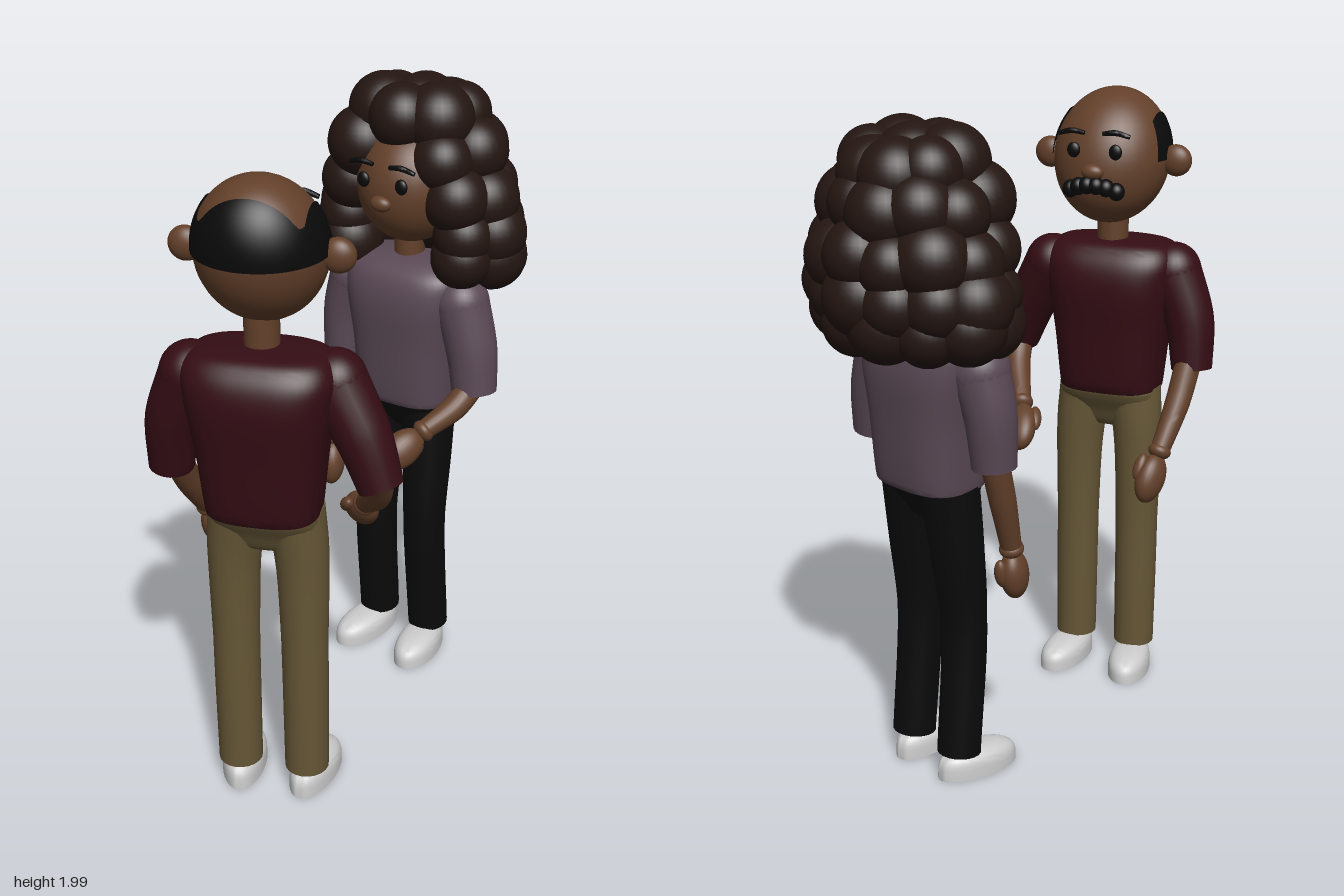
import * as THREE from 'three';
import { mergeVertices, toCreasedNormals } from 'three/addons/utils/BufferGeometryUtils.js';
import { ParametricGeometry } from 'three/addons/geometries/ParametricGeometry.js';

const paint = (color) => new THREE.MeshStandardMaterial({ color });
const skin = paint(0x63402a), black = paint(0x0a0a0a), white = paint(0xe6e6e6);
const maroon = paint(0x340d14), khaki = paint(0x655636), mauve = paint(0x5a4955), curls = paint(0x241612);
const V = (p) => new THREE.Vector3(...p);
const soft = (c, e) => Math.sign(c) * Math.abs(c) ** e;

function add(parent, name, geometry, material) {
  const mesh = new THREE.Mesh(geometry, material);
  mesh.name = name;
  parent.add(mesh);
  return mesh;
}

function ball(parent, name, material, pos, size) {
  const mesh = add(parent, name, new THREE.SphereGeometry(1, 28, 20), material);
  mesh.position.set(...pos);
  mesh.scale.set(...size);
  return mesh;
}

function creased(g) {
  g.deleteAttribute('uv');
  g.deleteAttribute('normal');
  return toCreasedNormals(mergeVertices(g, 1e-5), 0.9);
}

// Capped tube along points, radius passing through the listed values
function limb(parent, name, material, points, radii) {
  const n = 20, sides = 20;
  const curve = new THREE.CatmullRomCurve3(points.map(V));
  const g = new THREE.TubeGeometry(curve, n, 1, sides);
  const p = g.attributes.position, v = new THREE.Vector3();
  for (let i = 0; i <= n; i++) {
    const t = THREE.MathUtils.clamp((i - 1) / (n - 2), 0, 1);
    const f = t * (radii.length - 1), k = Math.min(Math.floor(f), radii.length - 2);
    const r = i === 0 || i === n ? 0 : THREE.MathUtils.lerp(radii[k], radii[k + 1], f - k);
    const from = curve.getPointAt(i / n), to = curve.getPointAt(t);
    for (let j = 0; j <= sides; j++) {
      const id = i * (sides + 1) + j;
      v.fromBufferAttribute(p, id).sub(from).multiplyScalar(r).add(to);
      p.setXYZ(id, v.x, v.y, v.z);
    }
  }
  return add(parent, name, creased(g), material);
}

// Rounded body from cross-sections [half width, height, half depth]
function loft(parent, name, material, sections, z = 0) {
  const curve = new THREE.CatmullRomCurve3(sections.map(V), false, 'centripetal');
  const g = new ParametricGeometry((u, v, out) => {
    const s = curve.getPoint(v), a = u * Math.PI * 2;
    out.set(s.x * soft(Math.cos(a), 0.7), s.y, z - s.z * soft(Math.sin(a), 0.7));
  }, 48, 40);
  return add(parent, name, creased(g), material);
}

// Sleeve with round shoulder, forearm, and a mitten hand with thumb
function arm(parent, shirt, sleeve, forearm, handEnd, thumbSide, radii) {
  const g = new THREE.Group();
  g.name = 'arm';
  parent.add(g);
  ball(g, 'shoulder', shirt, sleeve[0], [radii[0], radii[0], radii[0]]);
  limb(g, 'sleeve', shirt, sleeve, radii);
  limb(g, 'forearm', skin, forearm, [0.043, 0.04, 0.031]);
  const wrist = V(forearm[forearm.length - 1]), end = V(handEnd);
  const dir = end.clone().sub(wrist), len = dir.length();
  const hand = new THREE.Group();
  hand.name = 'hand';
  hand.position.copy(wrist);
  hand.quaternion.setFromUnitVectors(new THREE.Vector3(0, 1, 0), dir.normalize());
  g.add(hand);
  ball(hand, 'cuff', skin, [0, 0, 0], [0.037, 0.026, 0.037]);
  ball(hand, 'palm', skin, [0, len * 0.54, 0], [0.042, len * 0.48, 0.056]);
  ball(hand, 'thumb', skin, [thumbSide * 0.026, len * 0.4, 0.038], [0.021, 0.045, 0.021]);
}

// Blocky rounded shoe with a flat sole and lower toe
function shoe(parent, x, z, turn) {
  const g = new THREE.SphereGeometry(1, 40, 24), p = g.attributes.position;
  for (let i = 0; i < p.count; i++) {
    const px = p.getX(i), py = p.getY(i), pz = p.getZ(i);
    const plan = Math.hypot(px, pz) || 1, k = soft(plan, 0.75) / plan;
    const height = 0.083 - 0.008 * pz;
    p.setXYZ(i, px * k * (0.068 + 0.005 * pz), py > 0 ? height * soft(py, 0.5) : 0, pz * k * 0.14 + 0.065);
  }
  const mesh = add(parent, 'shoe', creased(g), white);
  mesh.position.set(x, 0.01, z);
  mesh.rotation.y = turn;
}

// Head with ears, eyes, brows and nose; lean carries the chin forward.
// Returns a helper that finds points on the face.
function head(parent, c, r, lean) {
  const g = new THREE.SphereGeometry(1, 40, 28);
  g.applyMatrix4(new THREE.Matrix4().makeScale(...r));
  g.applyMatrix4(new THREE.Matrix4().makeShear(0, 0, 0, -lean, 0, 0));
  add(parent, 'head', g, skin).position.set(...c);
  const on = (x, y, lift = 0) => [c[0] + x, c[1] + y,
    c[2] + lift - lean * y + r[2] * Math.sqrt(Math.max(0, 1 - (x / r[0]) ** 2 - (y / r[1]) ** 2))];
  const browZ = c[2] + r[2] - 0.002;
  for (const s of [-1, 1]) {
    ball(parent, 'ear', skin, [c[0] + s * (r[0] + 0.025), c[1] - 0.005, c[2]], [0.05, 0.05, 0.034]);
    ball(parent, 'eye', black, on(s * 0.068, 0.038, 0.01), [0.021, 0.024, 0.012]);
    limb(parent, 'brow', black, [[c[0] + s * 0.03, c[1] + 0.094, browZ], [c[0] + s * 0.07, c[1] + 0.099, browZ],
      [c[0] + s * 0.115, c[1] + 0.088, browZ - 0.006]], [0.007, 0.009, 0.007]);
  }
  ball(parent, 'nose', skin, on(0, -0.025, 0), [0.036, 0.025, 0.024]);
  return on;
}

function createMan() {
  const man = new THREE.Group(), body = new THREE.Group();
  man.name = 'man';
  body.name = 'manBody';
  body.position.set(0.042, 0, 0.535);
  body.rotation.y = THREE.MathUtils.degToRad(202);
  man.add(body);

  // Shirt, neck and trousers
  loft(body, 'shirt', maroon, [[0, 1.0, 0], [0.163, 1.0, 0.125], [0.165, 1.01, 0.13], [0.185, 1.2, 0.15],
    [0.212, 1.37, 0.165], [0.218, 1.44, 0.15], [0.19, 1.485, 0.115], [0.1, 1.5, 0.06], [0, 1.502, 0]], -0.02);
  add(body, 'neck', new THREE.CylinderGeometry(0.05, 0.05, 0.16, 24), skin).position.y = 1.55;
  loft(body, 'hips', khaki, [[0, 0.865, 0], [0.08, 0.875, 0.045], [0.145, 0.93, 0.075], [0.16, 1.01, 0.112], [0, 1.03, 0]], -0.008);
  for (const s of [-1, 1]) {
    limb(body, 'trouserLeg', khaki, [[s * 0.083, 1.0, -0.006], [s * 0.1, 0.85, 0], [s * 0.105, 0.5, 0], [s * 0.105, 0.09, 0]],
      [0.088, 0.076, 0.07, 0.069, 0.067]);
    shoe(body, s * 0.105, 0, s * 0.14);
  }

  // Head, moustache of small balls, hair round the back and sides
  const c = [0, 1.77, 0.018], r = [0.185, 0.21, 0.185], lean = 0.14;
  const on = head(body, c, r, lean);
  for (let i = -2.5; i <= 2.5; i++)
    ball(body, 'moustache', black, on(i * 0.03, -0.07 - 0.003 * (i * i - 2), 0.012), [0.026, 0.028, 0.026]);
  const hair = new ParametricGeometry((u, v, out) => {
    const a = (u - 0.5) * 2 * THREE.MathUtils.degToRad(114);
    const dx = -Math.sin(a), dz = -Math.cos(a);
    const edge = Math.min(0.14 / Math.max(0.01, Math.abs(dx)), 0.1 / Math.max(0.01, Math.abs(dz)), 0.162);
    const t = THREE.MathUtils.lerp(Math.PI / 2, Math.asin(edge / 0.185), v), y = Math.cos(t) * r[1] * 1.015;
    out.set(c[0] + dx * Math.sin(t) * r[0] * 1.03, c[1] + y, c[2] + dz * Math.sin(t) * r[2] * 1.03 - lean * y);
  }, 64, 12);
  const hairMaterial = paint(0x0a0a0a);
  hairMaterial.side = THREE.DoubleSide;
  add(body, 'hairBand', hair, hairMaterial);

  arm(man, maroon, [[-0.135, 1.405, 0.63], [-0.195, 1.25, 0.645], [-0.22, 1.09, 0.635]],
    [[-0.22, 1.14, 0.625], [-0.235, 1.0, 0.55], [-0.248, 0.86, 0.45]], [-0.25, 0.71, 0.37], 1, [0.09, 0.08, 0.066]);
  arm(man, maroon, [[0.225, 1.405, 0.45], [0.315, 1.25, 0.445], [0.372, 1.115, 0.445]],
    [[0.365, 1.14, 0.45], [0.325, 1.05, 0.39], [0.225, 0.95, 0.305]], [0.13, 0.84, 0.2], -1, [0.09, 0.082, 0.066]);
  return man;
}

function createWoman() {
  const woman = new THREE.Group(), body = new THREE.Group();
  woman.name = 'woman';
  body.name = 'womanBody';
  body.position.set(-0.08, 0, -0.39);
  woman.add(body);

  // Top, neck and trousers
  loft(body, 'top', mauve, [[0, 0.95, 0], [0.16, 0.95, 0.12], [0.162, 0.96, 0.124], [0.175, 1.15, 0.14],
    [0.2, 1.32, 0.147], [0.2, 1.39, 0.125], [0.15, 1.43, 0.08], [0, 1.45, 0]], -0.004);
  add(body, 'neck', new THREE.CylinderGeometry(0.048, 0.048, 0.16, 24), skin).position.y = 1.48;
  loft(body, 'hips', black, [[0, 0.835, 0], [0.08, 0.845, 0.045], [0.14, 0.9, 0.08], [0.158, 0.97, 0.108], [0, 0.98, 0]]);
  for (const s of [-1, 1]) {
    limb(body, 'trouserLeg', black, [[s * 0.08, 0.95, -0.005], [s * 0.09, 0.75, 0.015], [s * 0.096, 0.5, 0.035], [s * 0.1, 0.09, 0.005]],
      [0.09, 0.08, 0.07, 0.068, 0.067]);
    shoe(body, s * 0.1, 0.008, s * 0.14);
  }

  // Head and curls: rows of balls round a core, leaving the face open
  head(body, [0.015, 1.68, 0.01], [0.17, 0.19, 0.18], 0);
  const hair = new THREE.Group();
  hair.name = 'curlyHair';
  hair.position.z = -0.06;
  body.add(hair);
  ball(hair, 'hairCore', curls, [0, 1.66, -0.05], [0.23, 0.24, 0.17]);
  // Rows hold height, half width, back depth, front depth, count, spread in degrees
  const rows = [[1.89, 0.125, 0.08, 0.13, 7, 180], [1.78, 0.185, 0.125, 0.2, 8, 130], [1.65, 0.23, 0.168, 0.2, 9, 126],
    [1.54, 0.255, 0.165, 0.19, 9, 124], [1.465, 0.25, 0.14, 0.19, 8, 124]];
  rows.forEach(([y, rx, back, front, n, spread], k) => {
    for (let i = 0; i < n; i++) {
      const t = spread === 180 ? i / n : i / (n - 1);
      const a = THREE.MathUtils.degToRad((t * 2 - 1) * spread), c = Math.cos(a);
      const size = 0.104 + 0.009 * Math.sin(i * 2.3 + k * 1.7);
      const pinch = 1 - 0.22 * Math.max(0, c);
      ball(hair, 'curl', curls, [rx * Math.sin(a) * pinch, y + 0.01 * Math.sin(i * 3.1 + k) - (k ? 0 : 0.03 * Math.max(0, c)),
        -0.02 - (c > 0 ? back : front) * c], [size, size, size]);
    }
  });
  ball(hair, 'curl', curls, [0, 1.892, 0.01], [0.11, 0.105, 0.11]);

  arm(woman, mauve, [[-0.275, 1.32, -0.38], [-0.306, 1.2, -0.372], [-0.312, 1.04, -0.362]],
    [[-0.312, 1.09, -0.37], [-0.31, 0.92, -0.325], [-0.3, 0.76, -0.28]], [-0.293, 0.6, -0.25], 1, [0.088, 0.076, 0.066]);
  arm(woman, mauve, [[0.125, 1.32, -0.375], [0.17, 1.17, -0.37], [0.19, 1.035, -0.36]],
    [[0.19, 1.07, -0.365], [0.17, 1.005, -0.28], [0.115, 0.945, -0.18]], [0.05, 0.86, -0.05], -1, [0.088, 0.082, 0.072]);
  return woman;
}

export function createModel() {
  const model = new THREE.Group();
  model.name = 'couple';
  model.add(createMan(), createWoman());
  return model;
}
